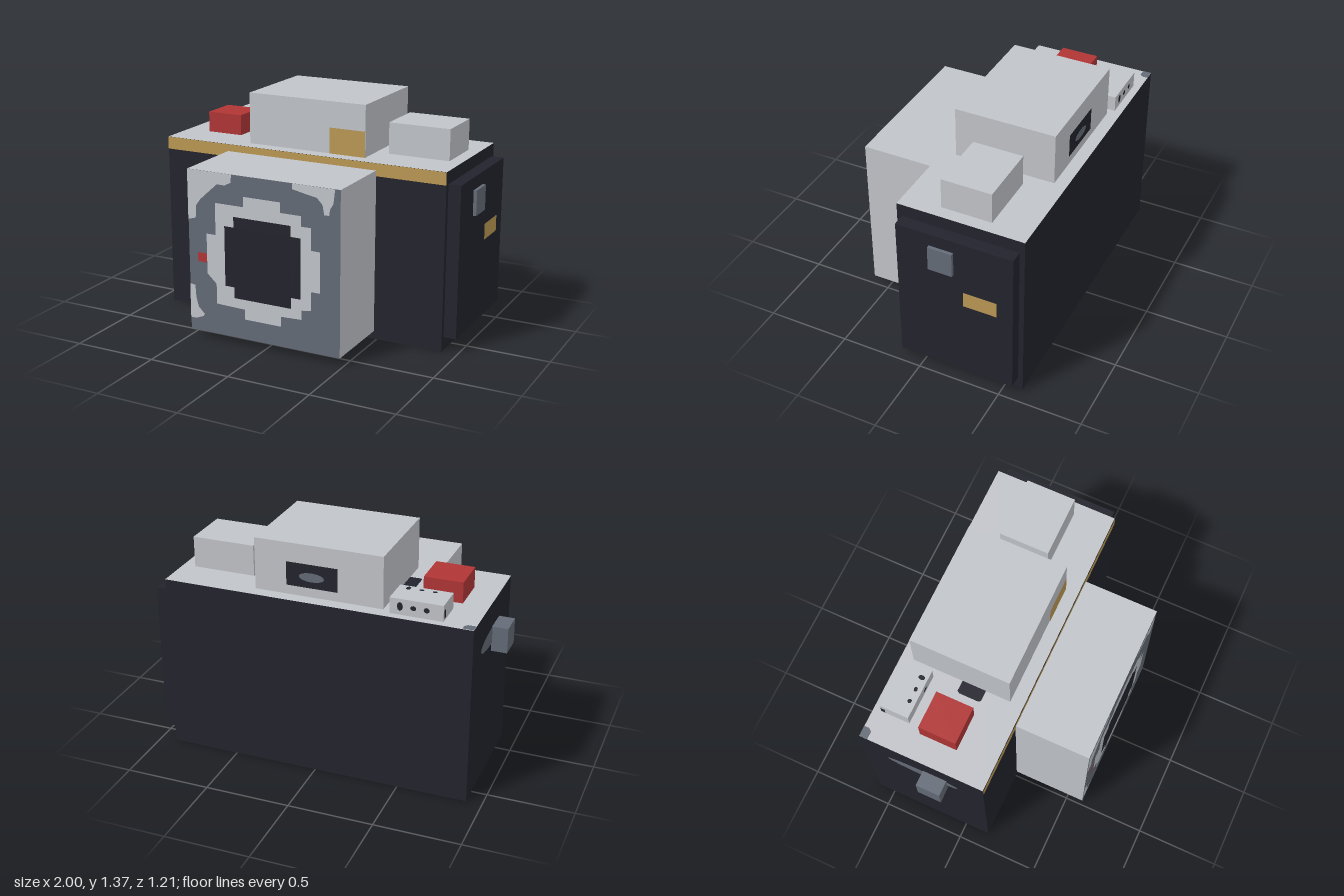
import * as THREE from 'three';

const paint = (name, color) => {
  const m = new THREE.MeshStandardMaterial({ color });
  m.name = name;
  return m;
};

export function createModel() {
  const camera = new THREE.Group();
  camera.name = 'boxCamera';
  const black = paint('black', 0x22232d);
  const slate = paint('slate', 0x646b77);
  const silver = paint('silver', 0xc1c4c9);
  const brass = paint('brass', 0xba9853);
  const red = paint('red', 0xb03535);

  // Box from its limits on each axis
  const box = (name, mat, [x0, x1], [y0, y1], [z0, z1]) => {
    const m = new THREE.Mesh(new THREE.BoxGeometry(x1 - x0, y1 - y0, z1 - z0), mat);
    m.position.set((x0 + x1) / 2, (y0 + y1) / 2, (z0 + z1) / 2);
    m.name = name;
    camera.add(m);
  };

  // Flat painted shape, given in world coordinates of the face it lies on:
  // front/back use (x, y), left/right use (z, y), top uses (x, z)
  const faces = {
    front: { flip: [1, 1], rot: [0, 0], at: d => [0, 0, d] },
    back: { flip: [-1, 1], rot: [0, Math.PI], at: d => [0, 0, d] },
    left: { flip: [-1, 1], rot: [0, Math.PI / 2], at: d => [d, 0, 0] },
    right: { flip: [1, 1], rot: [0, -Math.PI / 2], at: d => [d, 0, 0] },
    top: { flip: [1, -1], rot: [-Math.PI / 2, 0], at: d => [0, d, 0] },
  };
  const decal = (name, mat, face, depth, pts) => {
    const { flip, rot, at } = faces[face];
    const shape = new THREE.Shape(pts.map(([a, b]) => new THREE.Vector2(a * flip[0], b * flip[1])));
    const m = new THREE.Mesh(new THREE.ShapeGeometry(shape), mat);
    m.rotation.set(rot[0], rot[1], 0);
    m.position.set(...at(depth));
    m.name = name;
    camera.add(m);
  };
  const rect = (a0, a1, b0, b1) => [[a0, b0], [a1, b0], [a1, b1], [a0, b1]];
  const oval = (a, b, ra, rb, n = 16) => Array.from({ length: n }, (_, i) => {
    const t = i / n * Math.PI * 2;
    return [a + ra * Math.cos(t), b + rb * Math.sin(t)];
  });

  // Body with silver top plate, slate base and brass front trim
  box('body', [black, black, silver, slate, black, black], [-0.908, 0.905], [0, 1.06], [-0.605, 0.15]);
  decal('frontTrim', brass, 'front', 0.153, rect(-0.908, 0.905, 0.985, 1.06));
  decal('cornerPatch', slate, 'top', 1.063,
    [[-0.908, -0.605], [-0.845, -0.605], [-0.845, -0.575], [-0.86, -0.555], [-0.908, -0.555]]);
  decal('topSlot', black, 'top', 1.063,
    [[-0.38, -0.225], [-0.445, -0.225], [-0.455, -0.21], [-0.455, -0.09], [-0.445, -0.08], [-0.38, -0.08]]);

  // Side door, its brass plate and the strap lugs
  box('sideDoor', black, [0.9, 0.98], [0.08, 0.985], [-0.575, 0.12]);
  decal('doorPlate', brass, 'left', 0.983, rect(-0.48, -0.28, 0.56, 0.657));
  box('leftLug', slate, [0.97, 1], [0.76, 0.91], [-0.225, -0.08]);
  box('rightLug', slate, [-1, -0.9], [0.76, 0.91], [-0.225, -0.08]);
  decal('lugStain', slate, 'right', -0.911, oval(-0.23, 0.86, 0.22, 0.05));

  // Viewfinder housing with brass window and rear eyepiece
  box('viewfinder', silver, [-0.38, 0.375], [1.06, 1.367], [-0.53, 0.07]);
  decal('frontWindow', brass, 'front', 0.073, rect(0.15, 0.375, 1.06, 1.213));
  decal('eyepiece', black, 'back', -0.533, rect(-0.117, 0.186, 1.115, 1.255));
  decal('eyepieceLens', slate, 'back', -0.536, oval(0.035, 1.18, 0.075, 0.027));

  // Controls on the top plate
  box('shutterButton', red, [-0.758, -0.532], [1.06, 1.184], [-0.305, -0.08]);
  box('filmDial', silver, [0.455, 0.83], [1.06, 1.245], [-0.38, -0.08]);
  box('counter', silver, [-0.728, -0.425], [1.06, 1.153], [-0.56, -0.385]);
  for (const [x, r] of [[-0.635, 0.012], [-0.56, 0.011], [-0.485, 0.02]]) {
    decal('counterMark', black, 'top', 1.156, oval(x, -0.42, 0.014, r, 8));
    decal('counterRearMark', black, 'back', -0.563, oval(x, 1.11, 0.017, r * 1.3, 8));
  }
  decal('counterFrontMark', black, 'front', -0.382, oval(-0.525, 1.11, 0.018, 0.014, 8));
  decal('counterSideMark', black, 'right', -0.731, rect(-0.555, -0.53, 1.075, 1.125));

  // Square lens barrel with stepped rings on its slate front
  box('lensBarrel', [silver, silver, silver, silver, slate, silver], [-0.485, 0.482], [0.048, 1.018], [0.14, 0.6]);
  decal('lensRing', silver, 'front', 0.603, [
    [-0.12, 0.9], [0.115, 0.9], [0.115, 0.84], [0.245, 0.84], [0.245, 0.78], [0.305, 0.78],
    [0.305, 0.65], [0.36, 0.65], [0.36, 0.41], [0.305, 0.41], [0.305, 0.3], [0.245, 0.29],
    [0.245, 0.235], [0.115, 0.23], [0.115, 0.17], [-0.12, 0.17], [-0.12, 0.23], [-0.305, 0.235],
    [-0.305, 0.355], [-0.365, 0.41], [-0.365, 0.65], [-0.305, 0.65], [-0.305, 0.84], [-0.12, 0.84]]);
  decal('lensGlass', black, 'front', 0.605, [
    [-0.185, 0.775], [0.18, 0.775], [0.18, 0.712], [0.24, 0.712], [0.24, 0.355], [0.18, 0.355],
    [0.18, 0.29], [-0.185, 0.29], [-0.185, 0.355], [-0.245, 0.355], [-0.245, 0.712], [-0.185, 0.712]]);
  decal('lensMark', red, 'front', 0.604, rect(-0.425, -0.365, 0.475, 0.53));
  // Worn silver corners
  decal('wornUpperRight', silver, 'front', 0.603, [
    [-0.485, 1.018], [-0.195, 1.018], [-0.2, 0.97], [-0.24, 0.95], [-0.29, 0.95], [-0.34, 0.905],
    [-0.4, 0.85], [-0.43, 0.81], [-0.435, 0.735], [-0.485, 0.72]]);
  decal('wornUpperLeft', silver, 'front', 0.603, [
    [0.19, 1.018], [0.45, 1.018], [0.44, 0.935], [0.42, 0.9], [0.415, 0.865], [0.385, 0.865],
    [0.375, 0.92], [0.34, 0.957], [0.275, 0.968], [0.19, 0.985]]);
  decal('wornLowerRight', silver, 'front', 0.603, [
    [-0.485, 0.33], [-0.45, 0.325], [-0.445, 0.25], [-0.43, 0.195], [-0.39, 0.155], [-0.4, 0.14],
    [-0.445, 0.122], [-0.485, 0.12]]);

  // Reversed outlines get their winding fixed by the shape triangulator
  return camera;
}
